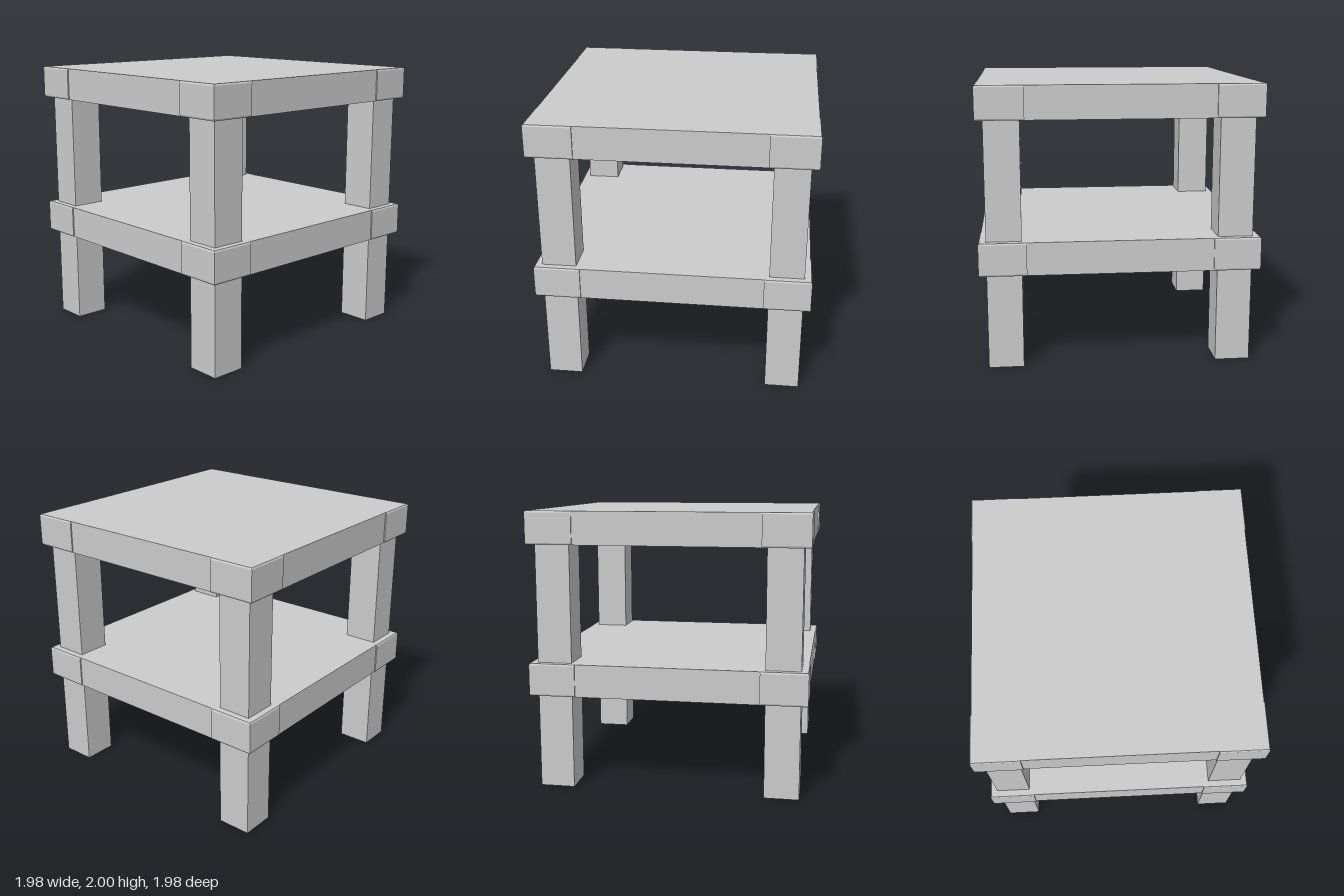
import * as THREE from 'three';

const SIDE = 0.983;    // half width of the shelf edges
const CORNER = 0.992;  // half width across the raised corners
const INNER = 0.657;   // half width of the opening underneath
const THICK = 0.235;   // shelf thickness
const LEG = 0.248, LEG_POS = 0.815;

const material = new THREE.MeshStandardMaterial({ color: 0xcccccc, flatShading: true, side: THREE.DoubleSide });

// Square outline with slightly raised corners, counter-clockwise
function outline(c) {
  const quarter = [[SIDE, INNER], [c, INNER], [c, c], [INNER, c], [INNER, SIDE]];
  const points = [];
  for (let k = 0; k < 4; k++) {
    for (let [x, y] of quarter) {
      for (let i = 0; i < k; i++) [x, y] = [-y, x];
      points.push(new THREE.Vector2(x, y));
    }
  }
  return points;
}

// Skin between outlines stacked in height, with softly bevelled corners
function wallGeometry() {
  const levels = [[0, 0.986], [0.012, CORNER], [THICK - 0.012, CORNER], [THICK, 0.986]];
  const rings = levels.map(([y, c]) => outline(c).map(p => [p.x, y, -p.y]));
  const positions = [];
  for (let l = 0; l < rings.length - 1; l++) {
    const low = rings[l], high = rings[l + 1];
    for (let i = 0; i < low.length; i++) {
      const j = (i + 1) % low.length;
      positions.push(...low[i], ...low[j], ...high[j], ...low[i], ...high[j], ...high[i]);
    }
  }
  const geometry = new THREE.BufferGeometry();
  geometry.setAttribute('position', new THREE.Float32BufferAttribute(positions, 3));
  geometry.computeVertexNormals();
  return geometry;
}

function addMesh(parent, name, geometry) {
  const mesh = new THREE.Mesh(geometry, material);
  mesh.name = name;
  parent.add(mesh);
  return mesh;
}

// Hollow shelf: top sheet, edge skin and a flat lip around the underside
function createShelf(name, y) {
  const shelf = new THREE.Group();
  shelf.name = name;
  shelf.position.y = y;

  const top = new THREE.ShapeGeometry(new THREE.Shape(outline(0.986)));
  addMesh(shelf, 'topSheet', top.rotateX(-Math.PI / 2)).position.y = THICK;

  addMesh(shelf, 'shelfEdge', wallGeometry());

  const lip = new THREE.Shape(outline(0.986));
  lip.holes.push(new THREE.Path([[-1, -1], [-1, 1], [1, 1], [1, -1]]
    .map(([a, b]) => new THREE.Vector2(a * INNER, b * INNER))));
  addMesh(shelf, 'undersideLip', new THREE.ShapeGeometry(lip).rotateX(Math.PI / 2));
  return shelf;
}

export function createModel() {
  const table = new THREE.Group();
  table.name = 'sideTable';
  table.add(createShelf('tableTop', 2 - THICK), createShelf('lowerShelf', 0.685));

  // Square legs, running up to just under the top sheet
  const height = 1.998;
  const legGeometry = new THREE.BoxGeometry(LEG, height, LEG);
  for (const [z, end] of [[1, 'front'], [-1, 'back']]) {
    for (const [x, side] of [[1, 'Left'], [-1, 'Right']]) {
      addMesh(table, `${end}${side}Leg`, legGeometry).position.set(x * LEG_POS, height / 2, z * LEG_POS);
    }
  }
  return table;
}
